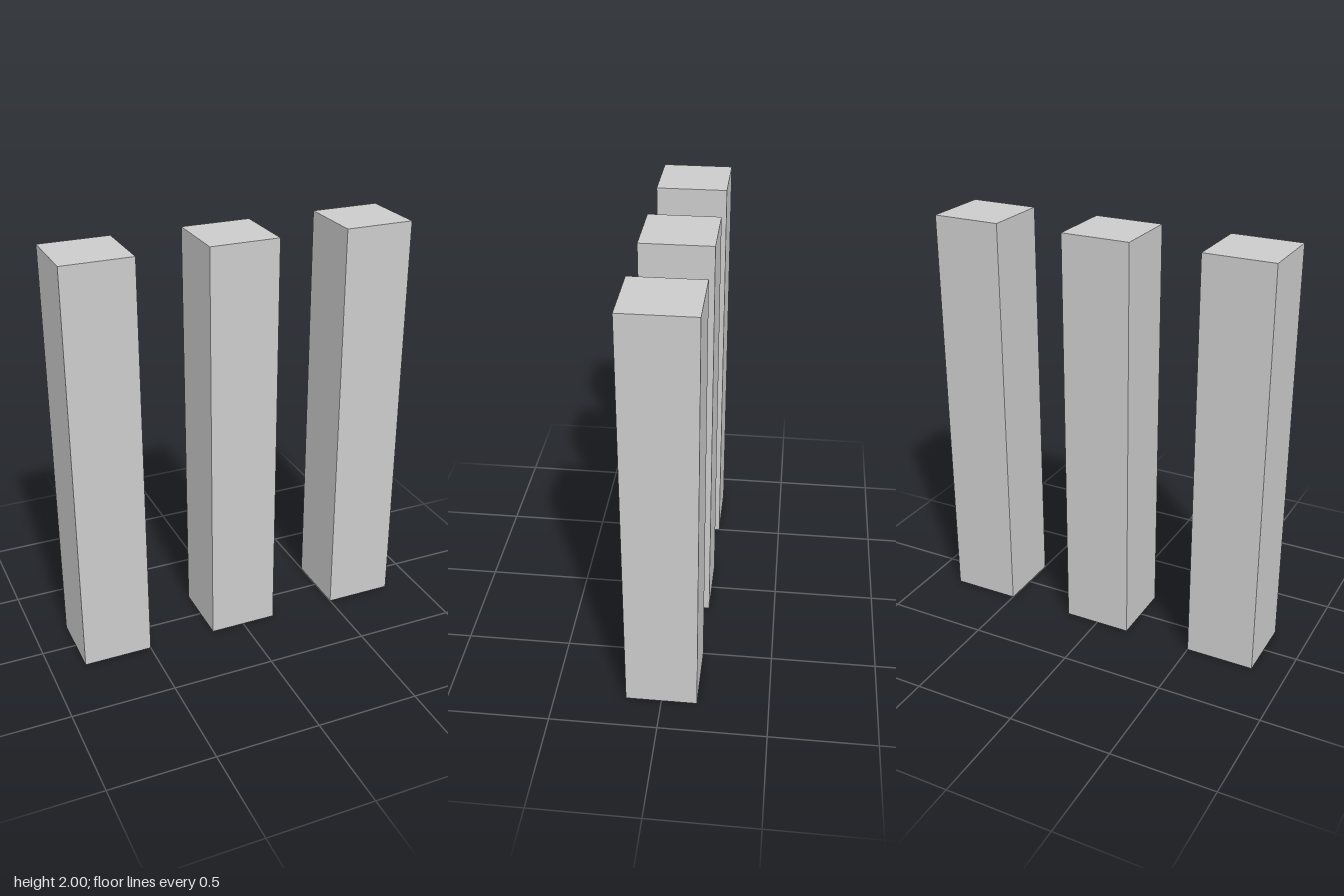
import * as THREE from 'three';

export function createModel() {
  const group = new THREE.Group();
  const material = new THREE.MeshStandardMaterial({ color: 0xcccccc, flatShading: true });

  // Three square pillars, spaced two widths apart centre to centre
  const width = 1 / 3, height = 2;
  const geometry = new THREE.BoxGeometry(width, height, width);
  ['rightPillar', 'middlePillar', 'leftPillar'].forEach((name, i) => {
    const pillar = new THREE.Mesh(geometry, material);
    pillar.name = name;
    pillar.position.set((i - 1) * 2 * width, height / 2, 0);
    group.add(pillar);
  });

  return group;
}
